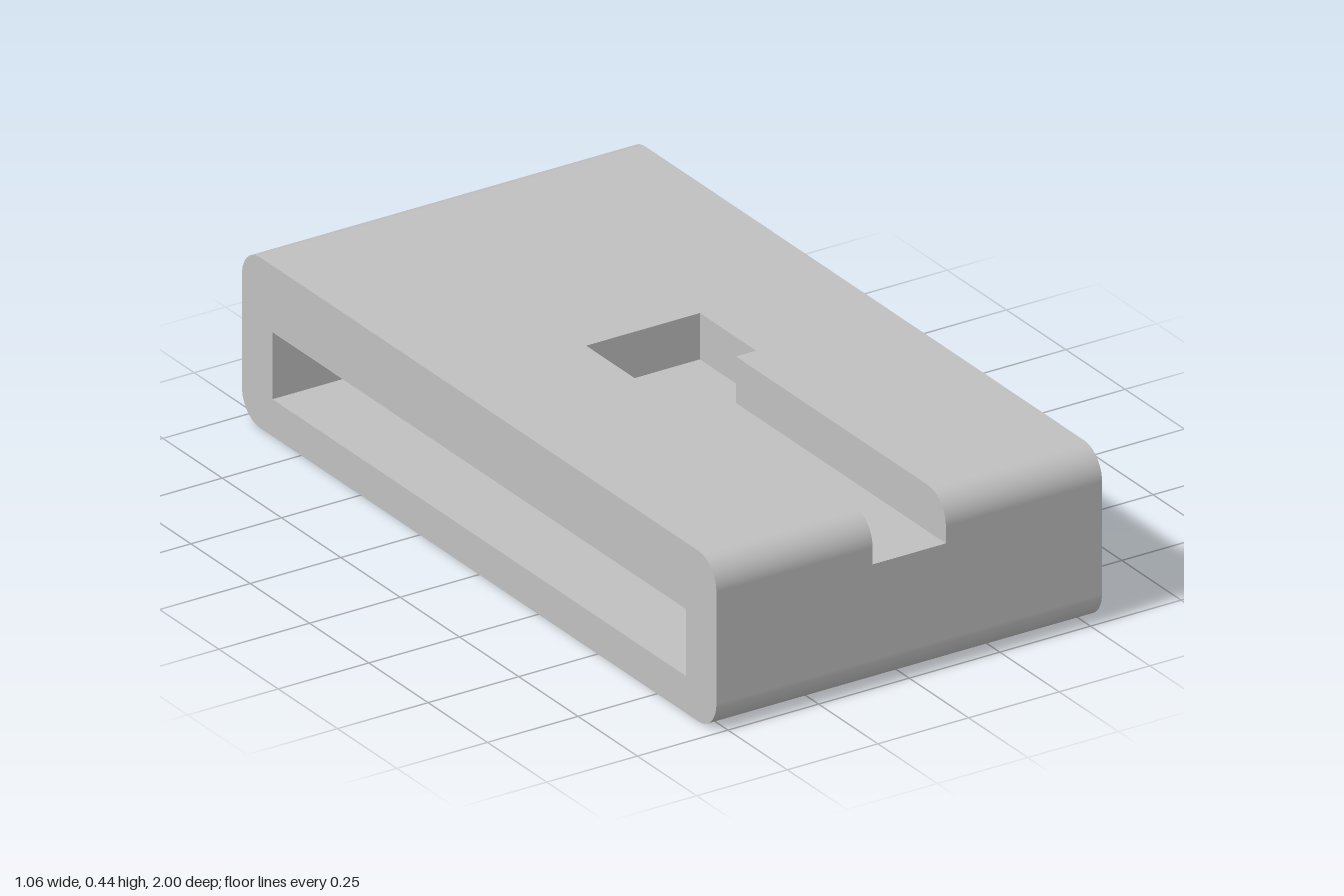
import * as THREE from 'three';
import { mergeGeometries } from 'three/addons/utils/BufferGeometryUtils.js';

const W = 0.532, H = 0.438, L = 1, R = 0.075;         // half width, height, half length, edge radius
const SLOT = { z: 0.871, y0: 0.095, y1: 0.267 };      // tunnel running through from side to side
const GX = 0.101, GY = 0.319;                         // groove half width and floor height
const PX = 0.157, PZ0 = -0.122, PZ1 = 0.115;          // pocket half width and z range
const STEPS = 10, Q = Math.PI / 2;

// Rounded corners in the z-y plane: centre z, centre y, start angle (clockwise sweep)
const CORNERS = {
  frontTop: [L - R, H - R, Q],
  frontBottom: [L - R, R, 0],
  backBottom: [-L + R, R, -Q],
  backTop: [-L + R, H - R, -2 * Q],
};

function arc([cz, cy, start]) {
  return Array.from({ length: STEPS + 1 }, (_, i) => {
    const a = start - Q * i / STEPS, nz = Math.cos(a), ny = Math.sin(a);
    return { z: cz + R * nz, y: cy + R * ny, nz, ny };
  });
}

// Smooth strip that follows rounded corners, from x0 to x1
function ribbon(corners, x0, x1) {
  const path = corners.flatMap(arc), pos = [], nor = [], uv = [], idx = [];
  path.forEach((p, i) => {
    for (const x of [x0, x1]) {
      pos.push(x, p.y, p.z);
      nor.push(0, p.ny, p.nz);
      uv.push(x, i);
    }
    if (i) {
      const a = 2 * i - 2;
      idx.push(a, a + 2, a + 1, a + 1, a + 2, a + 3);
    }
  });
  const g = new THREE.BufferGeometry();
  g.setAttribute('position', new THREE.Float32BufferAttribute(pos, 3));
  g.setAttribute('normal', new THREE.Float32BufferAttribute(nor, 3));
  g.setAttribute('uv', new THREE.Float32BufferAttribute(uv, 2));
  g.setIndex(idx);
  return g;
}

// Flat face from 2D points, with an optional hole
function plate(points, hole) {
  const toV = ([x, y]) => new THREE.Vector2(x, y);
  const s = new THREE.Shape(points.map(toV));
  if (hole) s.holes.push(new THREE.Path(hole.map(toV)));
  return new THREE.ShapeGeometry(s);
}
// Horizontal face from [x, z] points
const level = (points, y, down = false) => down
  ? plate(points).rotateX(Q).translate(0, y, 0)
  : plate(points.map(([x, z]) => [x, -z])).rotateX(-Q).translate(0, y, 0);
// Face across x from [z, y] points, looking towards dir (+1 or -1)
const side = (points, x, dir, hole) => {
  const flip = (list) => list && list.map(([z, y]) => [-dir * z, y]);
  return plate(flip(points), flip(hole)).rotateY(dir * Q).translate(x, 0, 0);
};
// Upright walls along a line of [x, z] points
const walls = (line, y0, y1) => line.slice(1).map(([bx, bz], i) => {
  const [ax, az] = line[i], dx = bx - ax, dz = bz - az;
  return new THREE.PlaneGeometry(Math.hypot(dx, dz), y1 - y0)
    .rotateY(Math.atan2(-dz, dx))
    .translate((ax + bx) / 2, (y0 + y1) / 2, (az + bz) / 2);
});
const rect = (a, b, c, d) => [[a, b], [c, b], [c, d], [a, d]];

export function createModel() {
  const group = new THREE.Group();
  group.name = 'slottedBlock';
  const grey = new THREE.MeshStandardMaterial({ color: 0xc0c0c0 });
  grey.name = 'grey';
  const add = (name, parts) => {
    const mesh = new THREE.Mesh(mergeGeometries(parts), grey);
    mesh.name = name;
    group.add(mesh);
  };

  const c = CORNERS;
  const pocket = [[-GX, PZ1], [-PX, PZ1], [-PX, PZ0], [PX, PZ0], [PX, PZ1], [GX, PZ1]];
  const keyhole = (z) => [[-GX, z], ...pocket, [GX, z]];

  // Outer skin: front, rounded edges, bottom, back, top and both ends
  const profile = [c.frontTop, c.frontBottom, c.backBottom, c.backTop]
    .flatMap(arc).map((p) => [p.z, p.y]);
  const slot = rect(-SLOT.z, SLOT.y0, SLOT.z, SLOT.y1);
  const T = H - R;
  add('body', [
    ribbon([c.frontBottom, c.backBottom, c.backTop], -W, W),
    ribbon([c.frontTop], -W, -GX),
    ribbon([c.frontTop], GX, W),
    plate([[-W, R], [W, R], [W, T], [GX, T], [GX, GY], [-GX, GY], [-GX, T], [-W, T]])
      .translate(0, 0, L),
    level([[-W, -L + R], [-W, L - R], ...keyhole(L - R), [W, L - R], [W, -L + R]], H),
    side(profile, W, 1, slot),
    side(profile, -W, -1, slot),
  ]);

  // Tunnel through the block
  const floor = rect(-W, -SLOT.z, W, SLOT.z);
  add('throughSlot', [
    level(floor, SLOT.y0),
    level(floor, SLOT.y1, true),
    ...walls([[-W, -SLOT.z], [W, -SLOT.z]], SLOT.y0, SLOT.y1),
    ...walls([[W, SLOT.z], [-W, SLOT.z]], SLOT.y0, SLOT.y1),
  ]);

  // T-shaped recess: square pocket with a groove open to the front
  const cheek = [[PZ1, GY], [L, GY], ...arc(c.frontTop).reverse().map((p) => [p.z, p.y]), [PZ1, H]];
  add('keyholeRecess', [
    level(keyhole(L), GY),
    ...walls(pocket, GY, H),
    side(cheek, -GX, 1),
    side(cheek, GX, -1),
  ]);

  return group;
}
